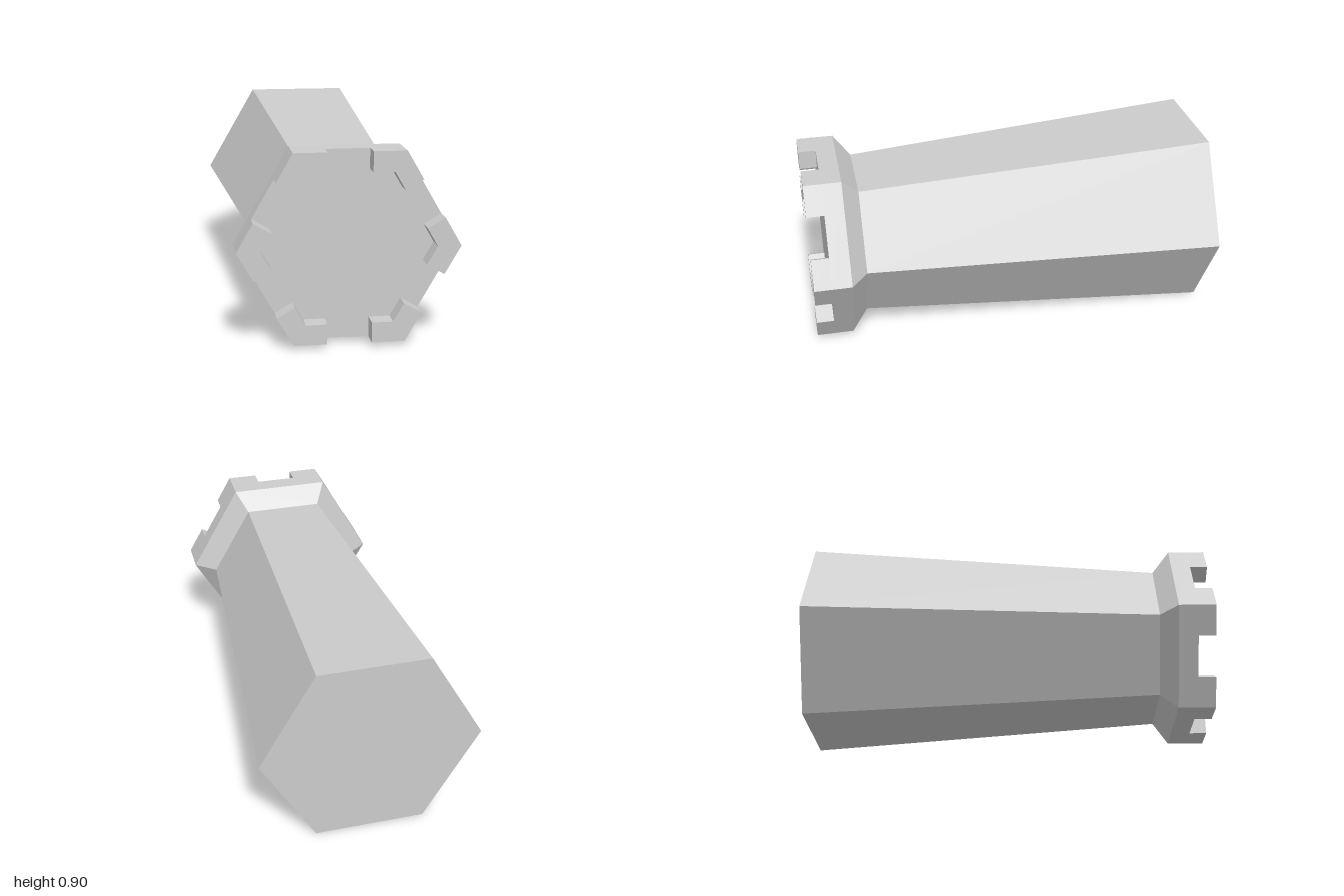
import * as THREE from 'three';

const SIDES = 6;
const CENTER_Y = 0.4515;
const RIM = 0.497; // corner radius of the parapet
const FLOOR_Z = 0.915; // platform between the merlons

export function createModel() {
  const model = new THREE.Group();
  model.name = 'hexagonalTower';
  const material = new THREE.MeshStandardMaterial({ color: 0xcccccc, flatShading: true });

  const add = (name, geometry) => {
    const mesh = new THREE.Mesh(geometry, material);
    mesh.name = name;
    mesh.position.y = CENTER_Y;
    model.add(mesh);
    return mesh;
  };

  // Six-sided solid from [radius, z] pairs, lying along z with corners on x
  const hexSolid = (profile) =>
    new THREE.LatheGeometry(
      profile.map(([r, z]) => new THREE.Vector2(r, z)), SIDES, Math.PI / 2
    ).rotateX(Math.PI / 2);

  // Tapered shaft with its closed base at the back
  add('shaft', hexSolid([[0, -1], [0.521, -1], [0.393, 0.74]]));

  // Flared collar and the platform on top of it
  add('collar', hexSolid([[0.393, 0.74], [RIM, 0.82], [RIM, FLOOR_Z], [0, FLOOR_Z]]));

  // Angled merlon wrapped around one corner, leaving a gap in the middle of each side
  const thickness = 0.092;
  const reach = RIM / 2 - 0.1;
  const outerX = RIM - reach * Math.cos(Math.PI / 3);
  const outerY = reach * Math.sin(Math.PI / 3);
  const innerX = outerX - thickness * Math.cos(Math.PI / 6);
  const innerY = outerY - thickness * Math.sin(Math.PI / 6);
  const cornerX = RIM - thickness / Math.cos(Math.PI / 6);
  const outline = new THREE.Shape([
    [RIM, 0], [outerX, outerY], [innerX, innerY],
    [cornerX, 0], [innerX, -innerY], [outerX, -outerY],
  ].map(([x, y]) => new THREE.Vector2(x, y)));
  const merlon = new THREE.ExtrudeGeometry(outline, { depth: 1 - FLOOR_Z, bevelEnabled: false });

  for (let i = 0; i < SIDES; i++) {
    const mesh = add(`merlon${i + 1}`, merlon);
    mesh.position.z = FLOOR_Z;
    mesh.rotation.z = (i * Math.PI * 2) / SIDES;
  }

  return model;
}
